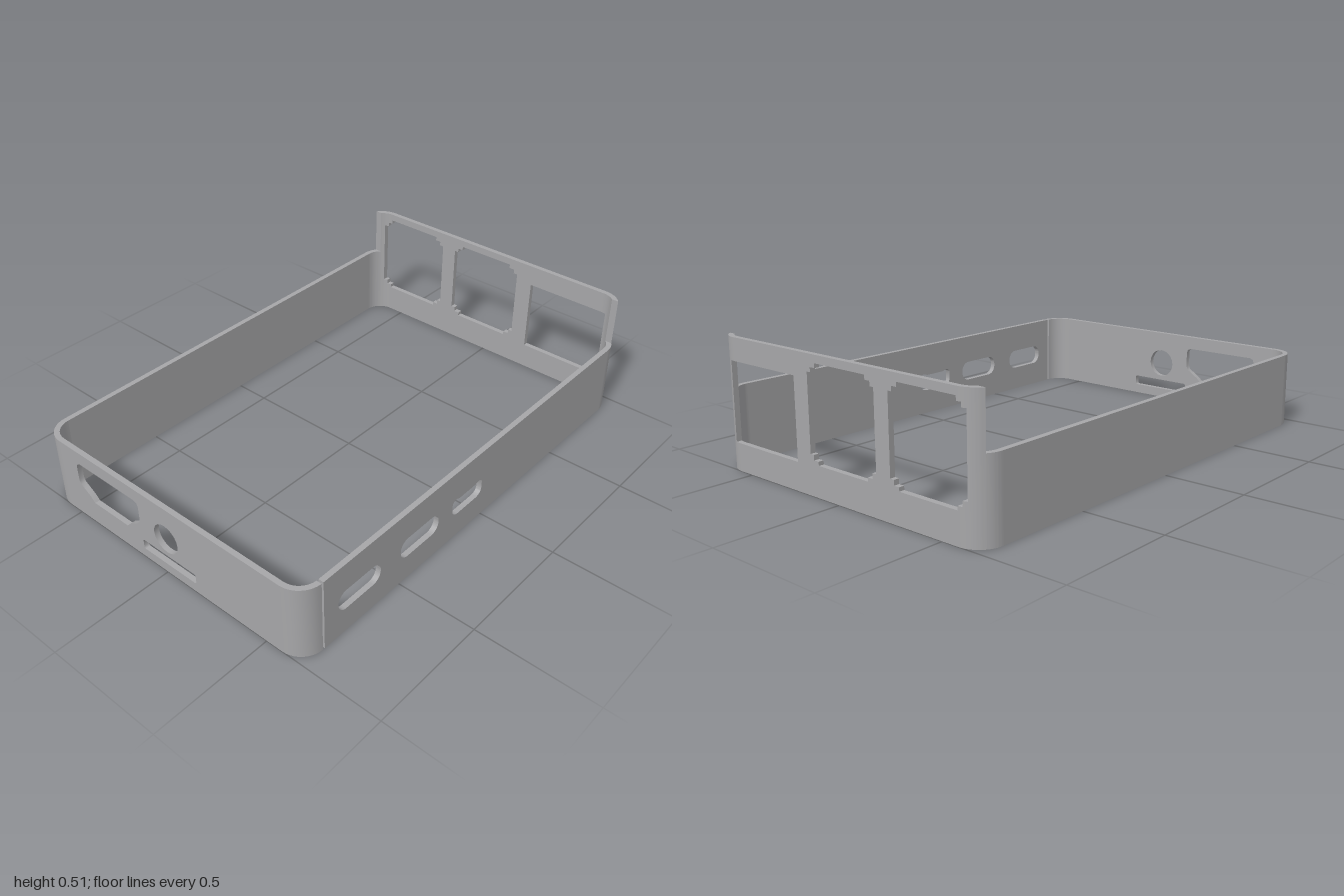
import * as THREE from 'three';
import { toCreasedNormals } from 'three/addons/utils/BufferGeometryUtils.js';

const T = 0.022, R = 0.1;            // wall thickness, outer corner radius
const X = 1, Z = 0.67;               // half sizes
const CX = X - R, CZ = Z - R;        // corner centres
const LOW = 0.31, HIGH = 0.515;      // wall heights

const pts = (list) => list.map(([a, b]) => new THREE.Vector2(a, b));

// rectangular outline
const rect = (a0, a1, b0, b1) => new THREE.Shape(pts([[a0, b0], [a1, b0], [a1, b1], [a0, b1]]));

// rounded slot
function slot(a0, a1, b0, b1, r) {
  const p = new THREE.Path();
  p.absarc(a1 - r, b0 + r, r, -Math.PI / 2, 0);
  p.absarc(a1 - r, b1 - r, r, 0, Math.PI / 2);
  p.absarc(a0 + r, b1 - r, r, Math.PI / 2, Math.PI);
  p.absarc(a0 + r, b0 + r, r, Math.PI, Math.PI * 1.5);
  p.closePath();
  return p;
}

// stair-stepped end of a socket window, running from its top to its bottom
const stepEnd = (edge, dir) => [
  [edge + dir * 0.042, 0.485], [edge + dir * 0.042, 0.468], [edge + dir * 0.018, 0.468],
  [edge + dir * 0.018, 0.45], [edge, 0.45], [edge, 0.155], [edge + dir * 0.018, 0.155],
  [edge + dir * 0.018, 0.135], [edge + dir * 0.042, 0.135], [edge + dir * 0.042, 0.12],
];

// angles [outer, inner] where a corner is cut at a given z or x offset from its centre
const atZ = (d) => [Math.asin(d / R), Math.asin(d / (R - T))];
const atX = (d) => [Math.acos(d / R), Math.acos(d / (R - T))];

export function createModel() {
  const group = new THREE.Group();
  group.name = 'caseFrame';
  const grey = new THREE.MeshStandardMaterial({ color: 0xa6a6a8 });
  grey.name = 'grey plastic';

  function extrude(name, shape, depth) {
    const geo = new THREE.ExtrudeGeometry(shape, { depth, bevelEnabled: false, curveSegments: 10 });
    const mesh = new THREE.Mesh(toCreasedNormals(geo, 0.6), grey);
    mesh.name = name;
    group.add(mesh);
    return mesh;
  }

  // curved piece of a corner between two cuts and two heights
  function cornerBand(name, sx, sz, from, to, y0, y1) {
    const N = 10, list = [];
    const add = (r, a) => list.push([sx * (CX + r * Math.cos(a)), sz * (CZ + r * Math.sin(a))]);
    for (let i = 0; i <= N; i++) add(R, from[0] + (to[0] - from[0]) * i / N);
    for (let i = N; i >= 0; i--) add(R - T, from[1] + (to[1] - from[1]) * i / N);
    const mesh = extrude(name, new THREE.Shape(pts(list)), y1 - y0);
    mesh.geometry.rotateX(Math.PI / 2);
    mesh.position.y = y1;
  }

  // front wall with three button and port slots
  const front = rect(-0.896, CX, 0, LOW);
  front.holes.push(slot(-0.825, -0.605, 0.105, 0.19, 0.04), slot(-0.495, -0.275, 0.105, 0.19, 0.04));
  const dip = new THREE.Path();
  dip.moveTo(-0.155, 0.105);
  dip.lineTo(-0.04, 0.105);
  dip.quadraticCurveTo(-0.005, 0.108, -0.005, 0.14);
  dip.lineTo(-0.005, 0.165);
  dip.quadraticCurveTo(-0.01, 0.182, -0.03, 0.18);
  dip.lineTo(-0.05, 0.174);
  dip.lineTo(-0.145, 0.174);
  dip.lineTo(-0.165, 0.18);
  dip.quadraticCurveTo(-0.185, 0.182, -0.19, 0.165);
  dip.lineTo(-0.19, 0.14);
  dip.quadraticCurveTo(-0.19, 0.108, -0.155, 0.105);
  front.holes.push(dip);
  extrude('frontWall', front, T).position.z = Z - T;

  // plain back wall
  extrude('backWall', rect(-CX, CX, 0, LOW), T).position.z = -Z;

  // low side wall with a port, a round jack hole and a card slot
  const low = rect(-CZ, CZ, 0, LOW);
  low.holes.push(new THREE.Path(pts([
    [-0.4, 0.1], [-0.21, 0.1], [-0.19, 0.12], [-0.16, 0.14], [-0.138, 0.153], [-0.13, 0.17],
    [-0.13, 0.235], [-0.136, 0.249], [-0.15, 0.255], [-0.46, 0.255], [-0.474, 0.249],
    [-0.48, 0.235], [-0.48, 0.17], [-0.472, 0.153], [-0.45, 0.14], [-0.42, 0.12],
  ])));
  const jack = new THREE.Path();
  jack.absarc(0.01, 0.165, 0.062, 0, Math.PI * 2);
  low.holes.push(jack, slot(-0.125, 0.155, 0.04, 0.083, 0.008));
  const lowWall = extrude('lowSideWall', low, T);
  lowWall.rotation.y = -Math.PI / 2;
  lowWall.position.x = -X + T;

  // tall side wall; its outer windows run on into the corners
  const tall = new THREE.Shape(pts([
    [-CZ, 0], [CZ, 0], [CZ, 0.11], [0.22, 0.11], [0.22, 0.425], [CZ, 0.425], [CZ, HIGH], [-CZ, HIGH],
    [-CZ, 0.485], ...stepEnd(-0.265, -1), [-CZ, 0.12],
  ]));
  tall.holes.push(new THREE.Path(pts([...stepEnd(-0.197, 1), ...stepEnd(0.145, -1).reverse()])));
  const tallWall = extrude('tallSideWall', tall, T);
  tallWall.rotation.y = -Math.PI / 2;
  tallWall.position.x = X;

  // low corners, the front one stopping short at the slit
  const start = [0, 0], end = [Math.PI / 2, Math.PI / 2];
  cornerBand('backLowCorner', -1, -1, start, end, 0, LOW);
  cornerBand('frontLowCorner', -1, 1, start, atX(0.005), 0, LOW);

  // tall corners: raised as far as a cut at x, then low
  const step = atX(0.057);
  const windows = {
    '1': [[0.025, 0.11, 0.425]],
    '-1': [[0.02, 0.135, 0.468], [0.037, 0.155, 0.45]],
  };
  for (const sz of [1, -1]) {
    const name = sz > 0 ? 'frontTallCorner' : 'backTallCorner';
    let from = start;
    for (const [d, y0, y1] of windows[sz]) {
      const to = atZ(d);
      cornerBand(name + 'Sill', 1, sz, from, to, 0, y0);
      cornerBand(name + 'Lintel', 1, sz, from, to, y1, HIGH);
      from = to;
    }
    cornerBand(name + 'Post', 1, sz, from, step, 0, HIGH);
    cornerBand(name, 1, sz, step, end, 0, LOW);
  }
  return group;
}
